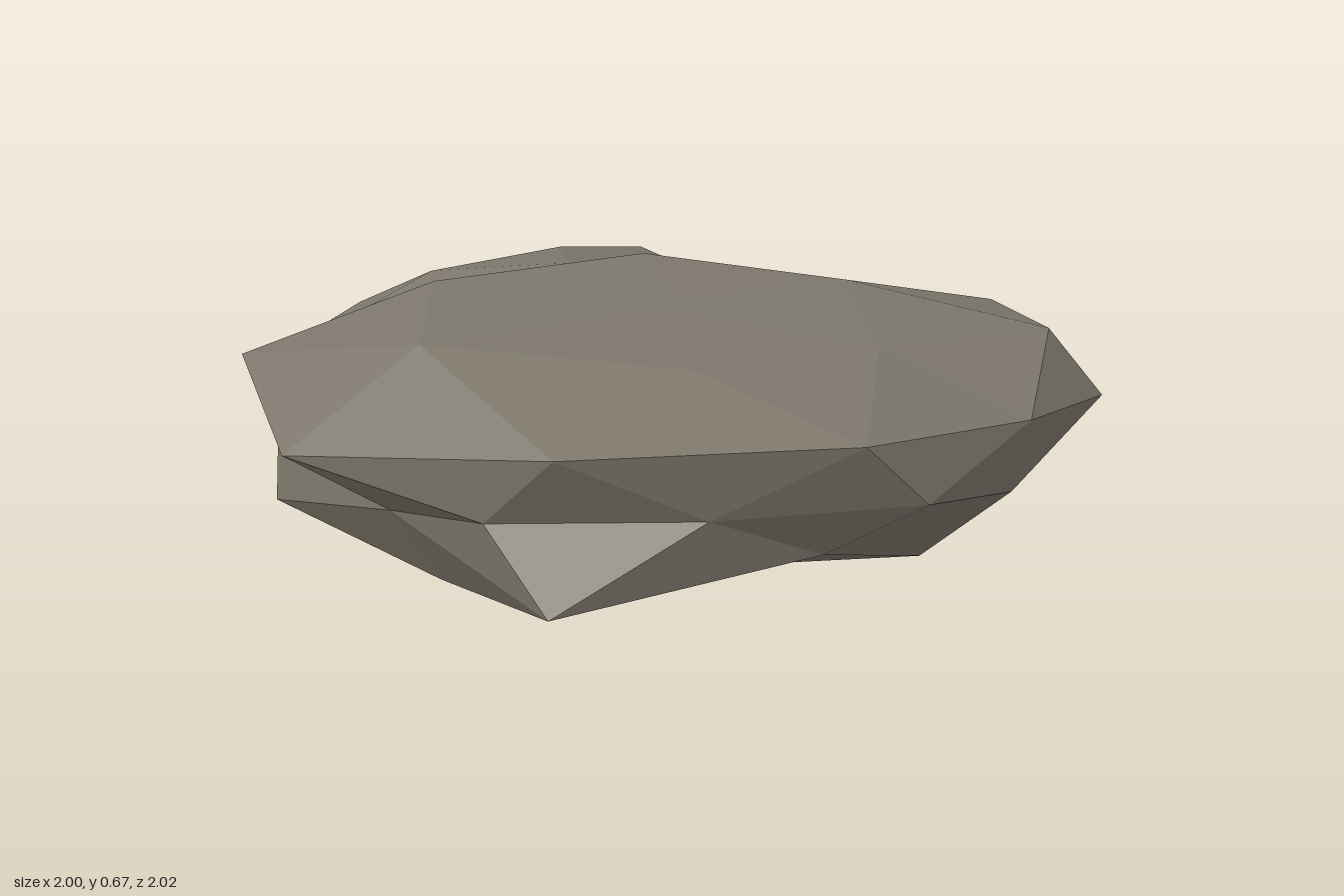
import * as THREE from 'three';

// Radius factors per vertex group of a once-subdivided icosahedron. Lower-case keys
// name the non-zero axes; X, Y, Z name the longest axis of the octant vertices.
// Within each group the signs run + then -, with the last axis changing fastest.
const mainRadii = {
  x: [1.04, 0.89], y: [0.86, 1.275], z: [0.8, 0.95],
  yz: [0.92, 1.0, 0.78, 1.0],
  xz: [0.89, 0.97, 0.875, 0.9],
  xy: [1.06, 0.87, 1.13, 1.06],
  X: [0.93, 1.1, 0.89, 1.0, 1.07, 1.03, 0.8, 1.0],
  Y: [0.89, 0.94, 1.08, 0.95, 1.14, 1.04, 1.08, 1.0],
  Z: [1.03, 0.95, 0.84, 1.06, 1.04, 0.95, 1.1, 1.0],
};
const backRadii = {
  x: [0.96, 1.11], y: [1.1, 1.0], z: [0.95, 0.9],
  yz: [0.95, 1.04, 0.95, 1.03],
  xz: [0.95, 0.9, 0.95, 0.9],
  xy: [1.05, 0.95, 0.95, 0.95],
  X: [1.0, 0.87, 1.0, 1.15, 1.0, 0.95, 1.1, 0.9],
  Y: [0.95, 0.86, 0.95, 1.0, 0.95, 1.0, 0.95, 1.0],
  Z: [0.95, 1.13, 0.95, 0.95, 0.95, 0.92, 0.95, 0.95],
};

// Finds the radius factor for a unit direction
function radiusFor(dir, radii) {
  const c = dir.toArray();
  const axes = [0, 1, 2].filter((i) => Math.abs(c[i]) > 0.01);
  const index = axes.reduce((n, i) => n * 2 + (c[i] < 0 ? 1 : 0), 0);
  let key = axes.map((i) => 'xyz'[i]).join('');
  if (axes.length === 3) {
    const size = c.map(Math.abs);
    key = 'XYZ'[size.indexOf(Math.max(...size))];
  }
  return radii[key][index];
}

// Flattened, faceted boulder
function makeRock(name, center, scale, radii, material) {
  const geometry = new THREE.IcosahedronGeometry(1, 1).rotateY(Math.PI / 2);
  const pos = geometry.attributes.position;
  const v = new THREE.Vector3();
  for (let i = 0; i < pos.count; i++) {
    v.fromBufferAttribute(pos, i);
    v.multiplyScalar(radiusFor(v, radii)).multiply(scale).add(center);
    pos.setXYZ(i, v.x, v.y, v.z);
  }
  geometry.computeVertexNormals();
  const rock = new THREE.Mesh(geometry, material);
  rock.name = name;
  return rock;
}

export function createModel() {
  const group = new THREE.Group();
  group.name = 'flatRocks';
  const stone = new THREE.MeshStandardMaterial({ color: 0x7d776c, flatShading: true });

  // Large front slab and the smaller slab tucked behind it
  group.add(
    makeRock('mainRock', new THREE.Vector3(-0.04, 0.39, 0.25),
      new THREE.Vector3(1, 0.306, 0.87), mainRadii, stone),
    makeRock('backRock', new THREE.Vector3(-0.2, 0.34, -0.45),
      new THREE.Vector3(0.7, 0.205, 0.6), backRadii, stone),
  );
  return group;
}
